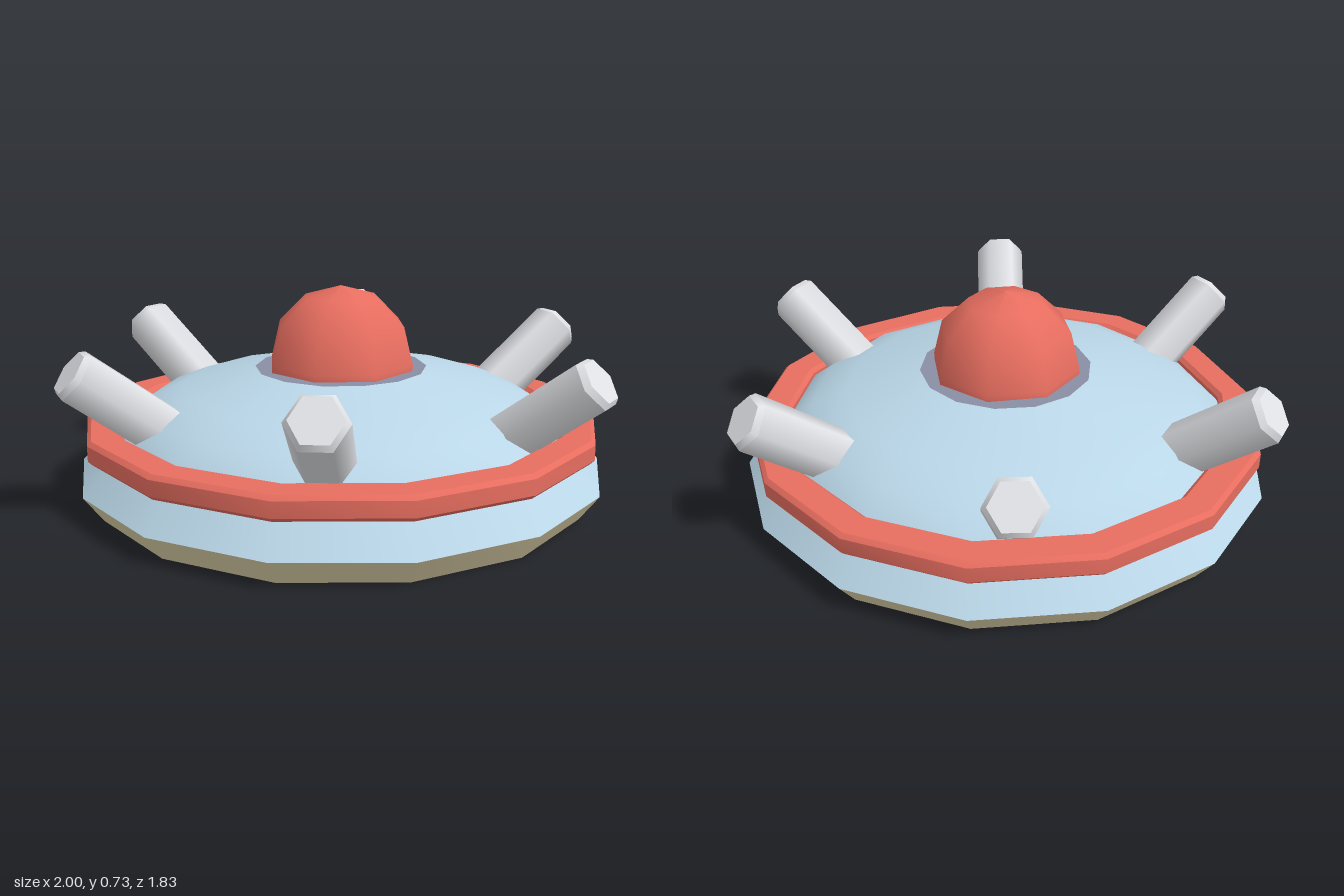
import * as THREE from 'three';
import { toCreasedNormals } from 'three/addons/utils/BufferGeometryUtils.js';

const SIDES = 14;

function material(name, color) {
  const m = new THREE.MeshStandardMaterial({ color });
  m.name = name;
  return m;
}

// Turned part with a corner on the x axis; profile is [radius, height] from bottom to top
function turned(profile, sides, crease) {
  const points = profile.map(([r, y]) => new THREE.Vector2(r, y));
  const geometry = new THREE.LatheGeometry(points, sides).rotateY(Math.PI / 2);
  return crease ? toCreasedNormals(geometry, crease) : geometry;
}

export function createModel() {
  const blue = material('paleBlue', 0xbad7e8);
  const red = material('coralRed', 0xe86e60);
  const grey = material('lightGrey', 0xe0e1e5);
  const sand = material('sand', 0xe0d3aa);
  const violet = material('violetGrey', 0x8a8ea5);

  const model = new THREE.Group();
  model.name = 'saucer';
  const add = (parent, name, geometry, mat) => {
    const mesh = new THREE.Mesh(geometry, mat);
    mesh.name = name;
    parent.add(mesh);
    return mesh;
  };

  // Hull
  add(model, 'underside', new THREE.CircleGeometry(0.873, SIDES).rotateX(Math.PI / 2), violet);
  add(model, 'baseSkirt', turned([[0.873, 0], [0.938, 0.09]], SIDES, 0.5), sand);
  add(model, 'hull', turned([
    [0.938, 0.09], [0.83, 0.2], [0.78, 0.26], [0.7, 0.32], [0.57, 0.375], [0.305, 0.438],
  ], SIDES, 0.5), blue);
  add(model, 'topPlate', new THREE.CircleGeometry(0.305, SIDES).rotateX(-Math.PI / 2), violet)
    .position.y = 0.438;

  // Bevelled ring around the hull
  add(model, 'ring', turned([
    [0.79, 0.213], [0.805, 0.198], [0.9, 0.198], [0.914, 0.212], [0.914, 0.264],
    [0.9, 0.278], [0.805, 0.278], [0.79, 0.264], [0.79, 0.213],
  ], SIDES, 0.5), red);

  // Low-poly cockpit dome
  add(model, 'cockpitDome', turned([
    [0.265, 0.435], [0.265, 0.46], [0.232, 0.592], [0.133, 0.69], [0, 0.727],
  ], 8), red);

  // Six tilted hexagonal barrels with bevelled tips
  const length = 0.46, bevel = 0.02, radius = 0.095, tipRadius = 0.08;
  const shaft = new THREE.CylinderGeometry(radius, radius, length, 6, 1, true)
    .translate(0, -length / 2 - bevel, 0);
  const tip = new THREE.CylinderGeometry(tipRadius, radius, bevel, 6)
    .translate(0, -bevel / 2, 0);
  for (let i = 0; i < 6; i++) {
    const mount = new THREE.Group();
    mount.name = `barrel${i + 1}`;
    mount.rotation.y = i * Math.PI / 3;
    const barrel = new THREE.Group();
    barrel.name = 'tiltedBarrel';
    barrel.position.set(0.955, 0.514, 0);
    barrel.rotation.z = -THREE.MathUtils.degToRad(52);
    add(barrel, 'barrelShaft', shaft, grey);
    add(barrel, 'barrelTip', tip, grey);
    mount.add(barrel);
    model.add(mount);
  }
  return model;
}
